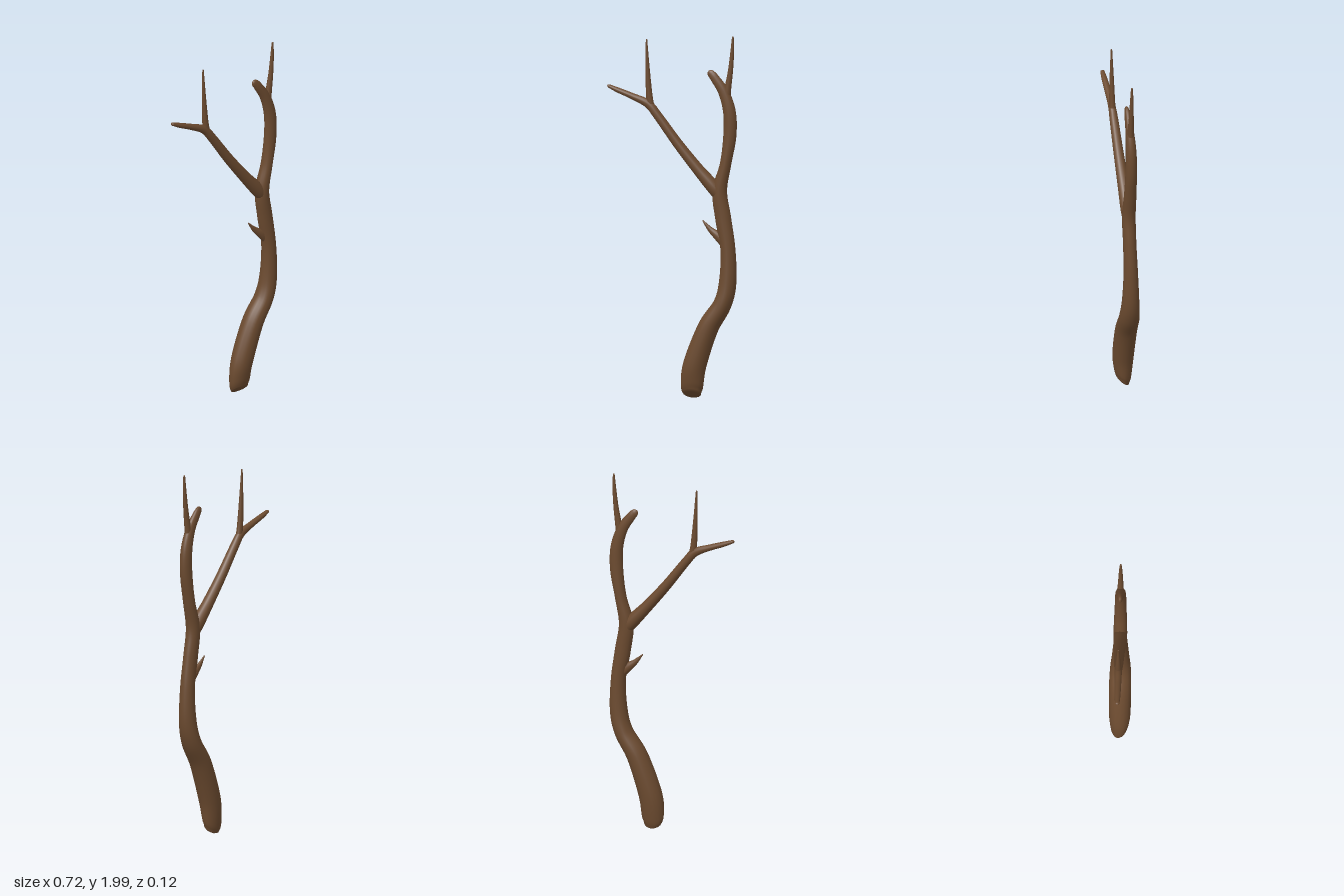
import * as THREE from 'three';

const bark = new THREE.MeshStandardMaterial({ color: 0x6b4a2f });
const SIDES = 16;

// Tapered limb in the xy plane. Each point: [x, y, half width, half depth, slant of the section]
function limb(name, points, steps = 8) {
  const path = new THREE.CatmullRomCurve3(
    points.map(([x, y, r]) => new THREE.Vector3(x, y, r)), false, 'catmullrom', 0.5);
  const extra = new THREE.CatmullRomCurve3(
    points.map(([, , r, d = r, slant = 0]) => new THREE.Vector3(d, slant, 0)), false, 'catmullrom', 0.5);
  const n = (points.length - 1) * steps;

  // sections: centre, direction, half sizes and slant
  const rings = [];
  for (let i = 0; i <= n; i++) {
    const p = path.getPoint(i / n), e = extra.getPoint(i / n);
    const a = path.getPoint(Math.max(0, i / n - 0.004));
    const b = path.getPoint(Math.min(1, i / n + 0.004));
    const len = Math.hypot(b.x - a.x, b.y - a.y);
    rings.push({ x: p.x, y: p.y, tx: (b.x - a.x) / len, ty: (b.y - a.y) / len, r: p.z, d: e.x, slant: e.y });
  }

  // rounded ends
  const cap = (ring, dir, out, scale) => {
    const k = dir * out * ring.r;
    return { ...ring, x: ring.x + ring.tx * k, y: ring.y + ring.ty * k, r: ring.r * scale, d: ring.d * scale };
  };
  const first = rings[0], last = rings[n];
  rings.unshift(cap(first, -1, 0.16, 0), cap(first, -1, 0.1, 0.8));
  rings.push(cap(last, 1, 0.5, 0.8), cap(last, 1, 0.8, 0.4), cap(last, 1, 0.9, 0));

  const pos = [], index = [];
  rings.forEach((g, i) => {
    for (let j = 0; j < SIDES; j++) {
      const t = (j / SIDES) * Math.PI * 2;
      const w = g.r * Math.cos(t), z = g.d * Math.sin(t);
      pos.push(g.x - g.ty * w, g.y + g.tx * w + g.slant * z, z);
      if (i < rings.length - 1) {
        const a = i * SIDES + j, b = i * SIDES + (j + 1) % SIDES;
        if (i > 0) index.push(a, b, a + SIDES);
        if (i < rings.length - 2) index.push(b, b + SIDES, a + SIDES);
      }
    }
  });
  const geo = new THREE.BufferGeometry();
  geo.setAttribute('position', new THREE.Float32BufferAttribute(pos, 3));
  geo.setIndex(index);
  geo.computeVertexNormals();
  const mesh = new THREE.Mesh(geo, bark);
  mesh.name = name;
  return mesh;
}

export function createModel() {
  const group = new THREE.Group();
  group.name = 'branch';

  // main stem, from the slanted cut at the foot to the blunt upper tip
  group.add(limb('mainStem', [
    [0.107, 0.037, 0.05, 0.034, 0.8],
    [0.108, 0.085, 0.062, 0.046, 0.6],
    [0.125, 0.2, 0.064, 0.057, 0.1],
    [0.197, 0.4, 0.057, 0.06],
    [0.275, 0.53, 0.05, 0.056],
    [0.305, 0.65, 0.048, 0.047],
    [0.307, 0.83, 0.041, 0.039],
    [0.281, 1.0, 0.044, 0.036],
    [0.262, 1.15, 0.04, 0.037],
    [0.294, 1.3, 0.031, 0.034],
    [0.317, 1.45, 0.036, 0.031],
    [0.316, 1.58, 0.035, 0.029],
    [0.284, 1.69, 0.03, 0.023],
    [0.235, 1.765, 0.025, 0.017],
    [0.213, 1.791, 0.021, 0.012],
  ]));

  // long side branch, bending outward at its fork
  group.add(limb('sideBranch', [
    [0.275, 1.1, 0.025, 0.025],
    [0.23, 1.165, 0.037, 0.036],
    [0.137, 1.27, 0.031, 0.032],
    [0.03, 1.4, 0.027, 0.028],
    [-0.08, 1.547, 0.024, 0.024],
    [-0.135, 1.61, 0.023, 0.02],
    [-0.22, 1.648, 0.017, 0.018],
    [-0.3, 1.678, 0.014, 0.016],
    [-0.352, 1.699, 0.009, 0.012],
  ]));

  // upright twig on the side branch
  group.add(limb('sideTwig', [
    [-0.115, 1.58, 0.02, 0.018],
    [-0.127, 1.65, 0.018, 0.016],
    [-0.137, 1.8, 0.012, 0.011],
    [-0.143, 1.96, 0.004, 0.004],
  ]));

  // upright twig near the top of the stem
  group.add(limb('topTwig', [
    [0.302, 1.63, 0.02, 0.018],
    [0.305, 1.7, 0.019, 0.017],
    [0.321, 1.81, 0.014, 0.013],
    [0.331, 1.92, 0.01, 0.009],
    [0.334, 1.994, 0.005, 0.005],
  ]));

  // short pointed spur halfway up
  group.add(limb('spur', [
    [0.295, 0.85, 0.02, 0.02],
    [0.255, 0.9, 0.024, 0.02],
    [0.21, 0.938, 0.015, 0.012],
    [0.168, 0.985, 0.003, 0.003],
  ]));

  return group;
}
